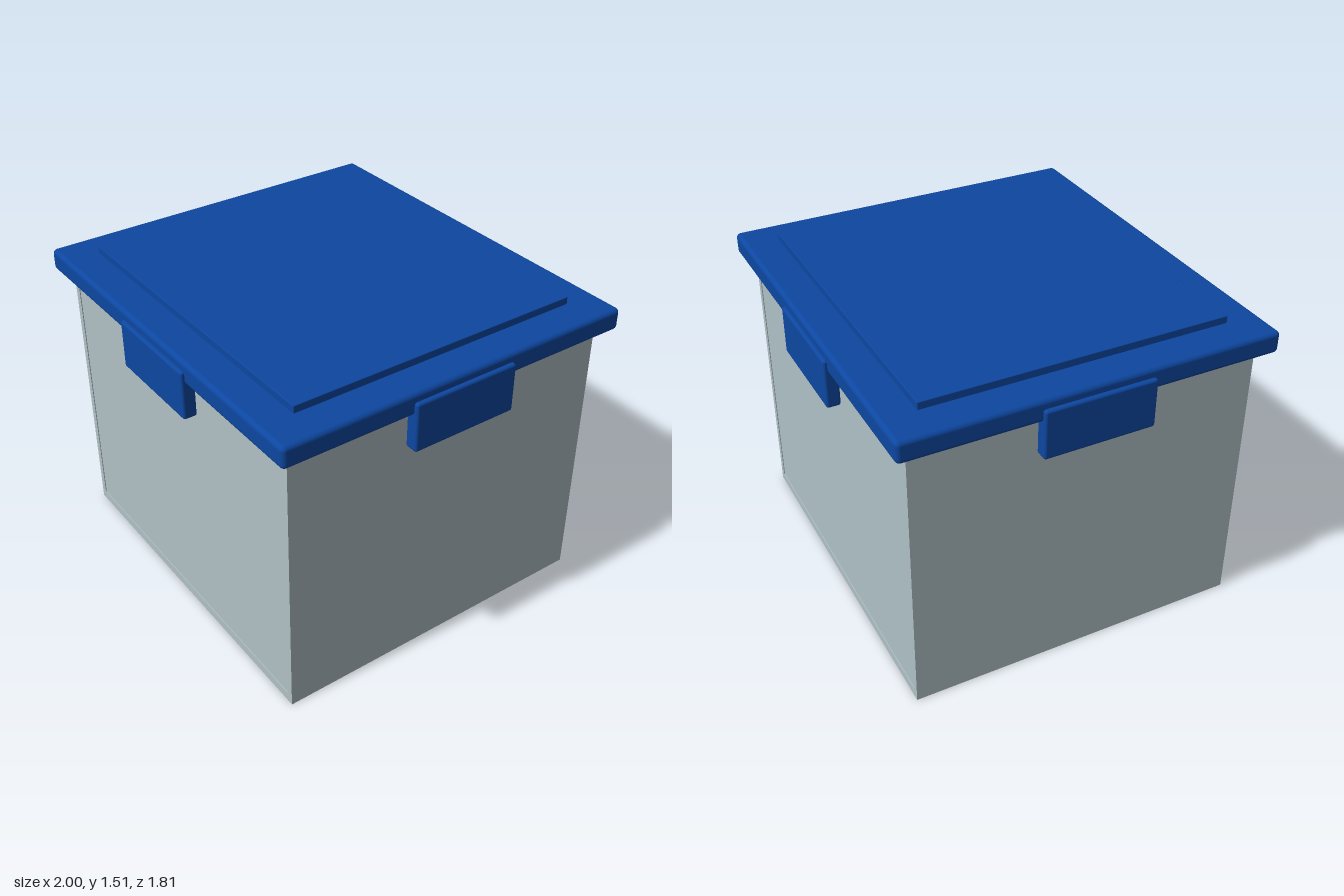
import * as THREE from 'three';
import { RoundedBoxGeometry } from 'three/addons/geometries/RoundedBoxGeometry.js';

export function createModel() {
  const model = new THREE.Group();
  model.name = 'storageBox';

  const grey = new THREE.MeshStandardMaterial({ color: 0xb0c1c6 });
  grey.name = 'pale grey plastic';
  const blue = new THREE.MeshStandardMaterial({ color: 0x0d47a1 });
  blue.name = 'blue plastic';

  // Adds a box given its size, centre and optional edge radius
  function addBox(name, material, [w, h, d], [x, y, z], radius = 0) {
    const geometry = radius
      ? new RoundedBoxGeometry(w, h, d, 3, radius)
      : new THREE.BoxGeometry(w, h, d);
    const mesh = new THREE.Mesh(geometry, material);
    mesh.name = name;
    mesh.position.set(x, y, z);
    model.add(mesh);
  }

  // Hollow container: floor and four walls
  const floor = 0.045, rim = 1.38, wall = 0.033;
  const halfX = 0.905, halfZ = 0.82, inset = 0.004;
  const wallH = rim - floor, wallY = (rim + floor) / 2;
  addBox('floor', grey, [halfX * 2, floor, halfZ * 2], [0, floor / 2, 0]);
  for (const s of [1, -1]) {
    const end = s > 0 ? 'left' : 'right';
    const face = s > 0 ? 'front' : 'back';
    addBox(end + 'Wall', grey, [wall, wallH, halfZ * 2], [s * (halfX - wall / 2), wallY, 0]);
    // Front and back panels sit slightly behind the side wall edges
    addBox(face + 'Wall', grey, [(halfX - wall) * 2, wallH, wall],
      [0, wallY, s * (halfZ - inset - wall / 2)]);

    // Latches hanging from the lid
    addBox(end + 'Latch', blue, [0.066, 0.235, 0.525], [s * 0.967, 1.3145, 0], 0.012);
    addBox(face + 'Latch', blue, [0.525, 0.235, 0.066], [0, 1.3145, s * 0.872], 0.012);
  }

  // Lid with its raised centre panel
  addBox('lid', blue, [1.96, 0.106, 1.776], [0, 1.422, 0], 0.022);
  addBox('lidPanel', blue, [1.63, 0.05, 1.45], [0, 1.485, 0], 0.004);

  return model;
}
